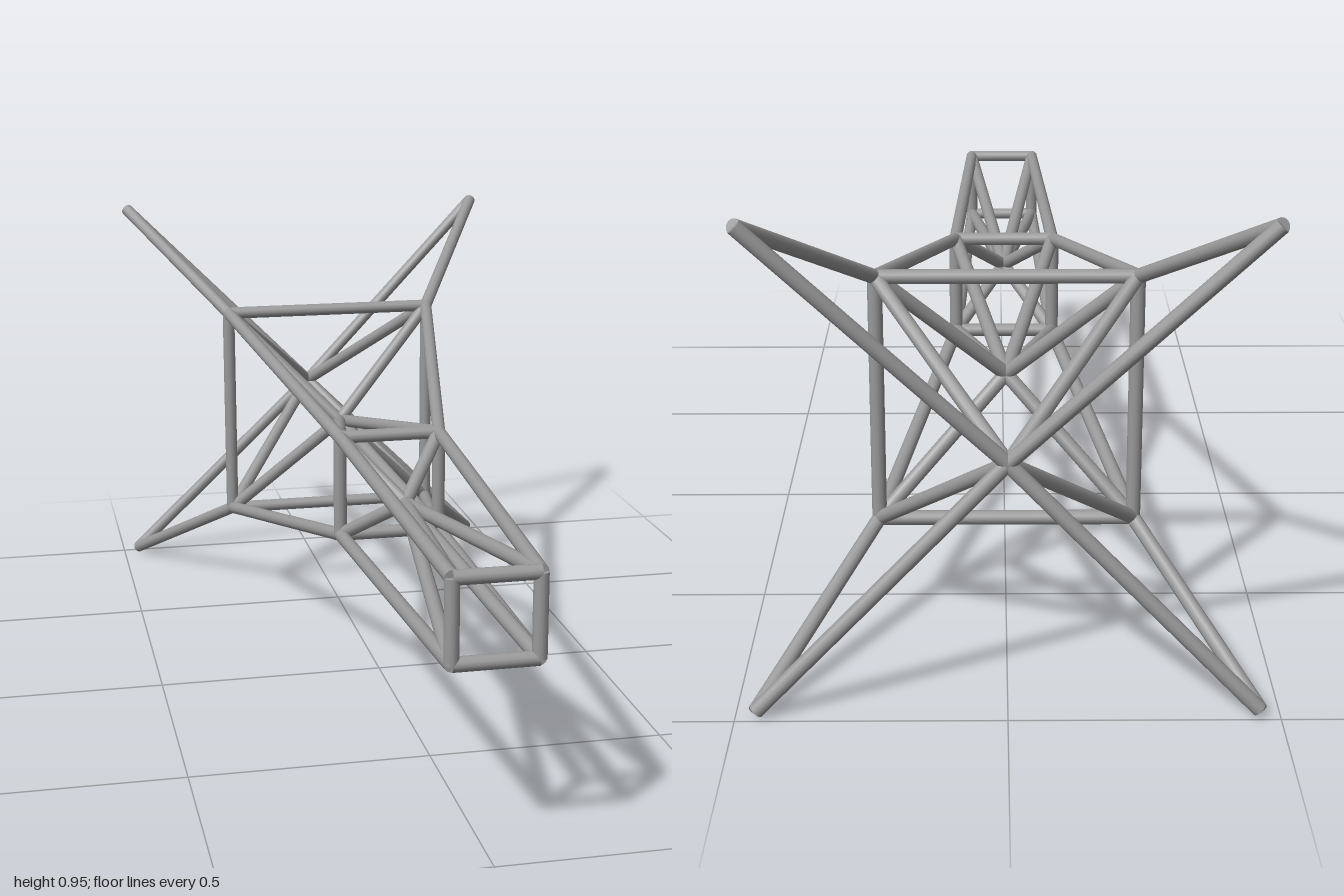
import * as THREE from 'three';

const RADIUS = 0.0145;
const CENTER_Y = 0.475;

export function createModel() {
  const model = new THREE.Group();
  model.name = 'trussFrame';
  const steel = new THREE.MeshStandardMaterial({ color: 0x999999 });
  steel.name = 'grey steel';

  // Round bar between two points
  const up = new THREE.Vector3(0, 1, 0);
  function bar(group, name, a, b) {
    const dir = b.clone().sub(a);
    const mesh = new THREE.Mesh(new THREE.CylinderGeometry(RADIUS, RADIUS, dir.length(), 12), steel);
    mesh.name = name;
    mesh.position.copy(a).add(b).multiplyScalar(0.5);
    mesh.quaternion.setFromUnitVectors(up, dir.normalize());
    group.add(mesh);
  }
  function section(name) {
    const group = new THREE.Group();
    group.name = name;
    model.add(group);
    return group;
  }

  // Four corners of a square station, and a point on the axis
  const corners = (half, z) => [[1, 1], [-1, 1], [-1, -1], [1, -1]]
    .map(([sx, sy]) => new THREE.Vector3(sx * half, CENTER_Y + sy * half, z));
  const axisPoint = (z) => new THREE.Vector3(0, CENTER_Y, z);

  const stations = [
    corners(0.081, 0.985), // front
    corners(0.11, 0.11),   // middle
    corners(0.251, -0.607), // rear
    corners(0.462, -0.986), // splayed tips
  ];
  const hubs = [axisPoint(0.265), axisPoint(-0.465), axisPoint(-0.92)];

  // Square frames at the first three stations
  ['frontFrame', 'middleFrame', 'rearFrame'].forEach((name, s) => {
    const frame = section(name);
    const pts = stations[s];
    pts.forEach((p, i) => bar(frame, 'frameBar', p, pts[(i + 1) % 4]));
  });

  // Outer corner bars and inner bracing meeting at an axis hub in each bay
  ['frontBay', 'middleBay', 'rearBay'].forEach((name, s) => {
    const bay = section(name);
    for (let i = 0; i < 4; i++) {
      bar(bay, 'cornerBar', stations[s][i], stations[s + 1][i]);
      bar(bay, 'frontBrace', stations[s][i], hubs[s]);
      bar(bay, 'rearBrace', hubs[s], stations[s + 1][i]);
    }
  });

  return model;
}
